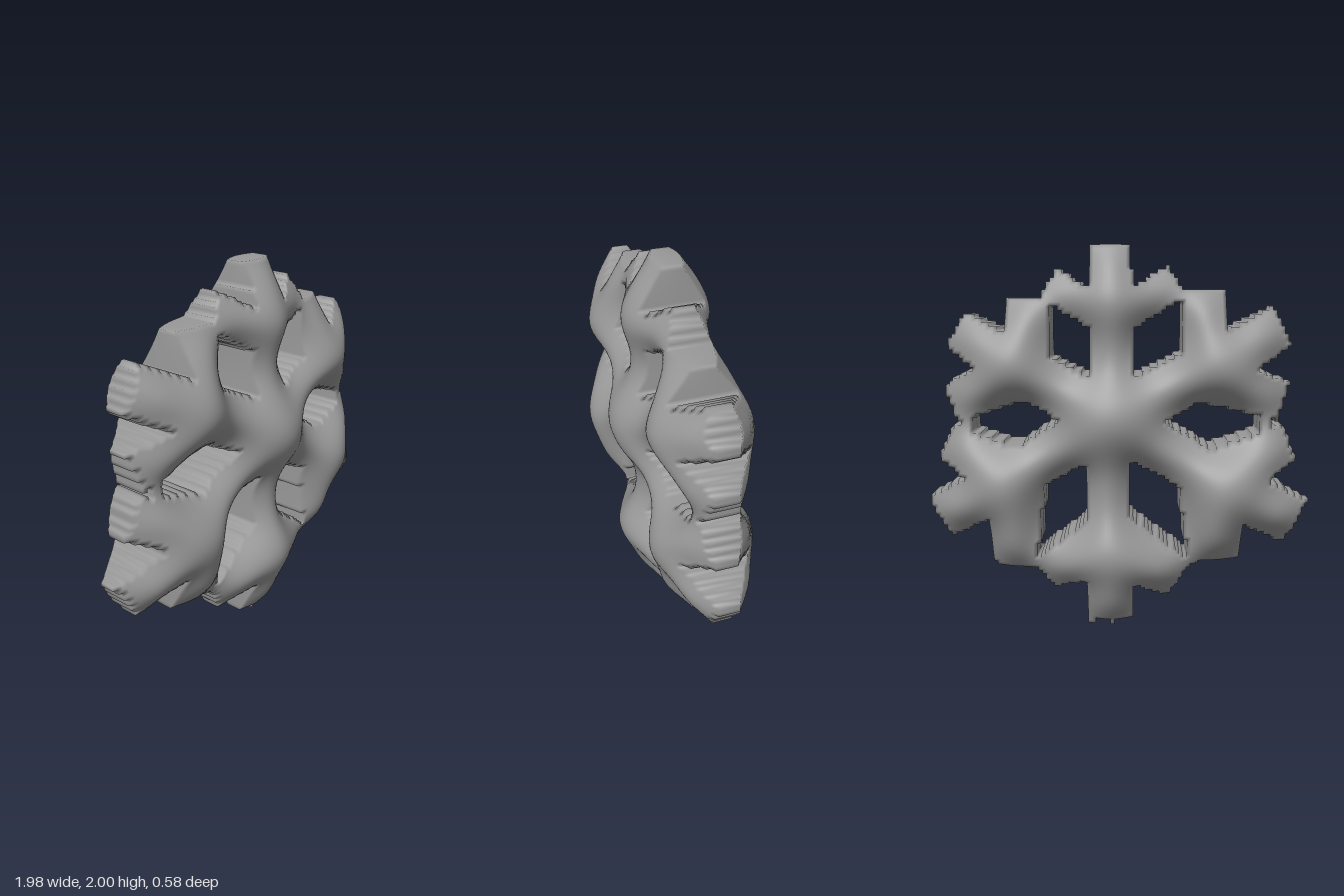
import * as THREE from 'three';

const CELLS = 100;          // outline grid resolution
const CELL = 2 / CELLS;     // stepped outline size
const SOFTNESS = 0.085;     // how gently the body swells
const SWELL = 0.35;         // low values keep thin arms nearly as thick as the hub
const PEAK = 0.29;          // half thickness at the hub

// Each stroke: x0, y0, x1, y1, half width at start, half width at end
const upperArms = [
  [0.03, 1.13, 0.025, 1.6, 0.115, 0.113],      // top arm
  [0.03, 1.6, 0.04, 2.01, 0.107, 0.107],
  [0.03, 1.62, -0.297, 1.825, 0.085, 0.09],
  [0.03, 1.62, 0.35, 1.815, 0.085, 0.085],
  [0.04, 1.13, -0.83, 1.6, 0.145, 0.112],      // upper arm, -x side
  [-0.435, 1.37, -0.435, 1.77, 0.12, 0.105],
  [-0.42, 1.36, -0.845, 1.22, 0.135, 0.097],
  [0.04, 1.13, 0.818, 1.585, 0.145, 0.105],    // upper arm, +x side
  [0.458, 1.35, 0.458, 1.74, 0.115, 0.107],
  [0.47, 1.37, 0.855, 1.21, 0.135, 0.095],
];
const lowerArms = [
  [0.045, 1.13, 0.045, 0.5, 0.11, 0.11],       // bottom arm
  [0.038, 0.55, 0.038, 0.04, 0.125, 0.127],
  [0.04, 0.51, -0.325, 0.272, 0.15, 0.125],
  [0.04, 0.51, 0.39, 0.297, 0.15, 0.1],
  [0.03, 0.06, 0.03, -0.01, 0.012, 0.012],     // small nubs under the tip
  [0.14, 0.06, 0.14, -0.01, 0.012, 0.012],
  [0.04, 1.13, -0.928, 0.58, 0.127, 0.127],    // lower arm, -x side
  [-0.47, 0.8, -0.5, 0.375, 0.16, 0.132],
  [-0.46, 0.82, -0.88, 1.01, 0.15, 0.103],
  [0.04, 1.13, 0.935, 0.602, 0.13, 0.118],     // lower arm, +x side
  [0.52, 0.8, 0.545, 0.345, 0.145, 0.12],
  [0.48, 0.82, 0.885, 1.01, 0.145, 0.103],
];
// Thin joins where neighbouring branches touch
const joins = [
  [-0.745, 1.06, -0.745, 1.18, 0.035, 0.035],
  [0.775, 1.06, 0.775, 1.18, 0.03, 0.03],
  [-0.34, 1.75, -0.3, 1.75, 0.03, 0.03],
  [0.34, 1.73, 0.38, 1.73, 0.02, 0.03],
  [-0.39, 0.38, -0.34, 0.38, 0.02, 0.02],
  [0.39, 0.37, 0.45, 0.37, 0.02, 0.02],
];
const strokes = [...upperArms, ...lowerArms, ...joins];

function insideStroke(x, y, [x0, y0, x1, y1, w0, w1]) {
  const dx = x1 - x0, dy = y1 - y0, len = Math.hypot(dx, dy);
  const t = ((x - x0) * dx + (y - y0) * dy) / (len * len);
  const off = Math.abs((x - x0) * dy - (y - y0) * dx) / len;
  return t >= 0 && t <= 1 && off <= w0 + (w1 - w0) * t;
}

// Height of each cell, rising with its distance from the outline
function rawHeights(filled) {
  const empty = [];
  for (let j = -1; j <= CELLS; j++) {
    for (let i = -1; i <= CELLS; i++) if (!filled(i, j)) empty.push([i, j]);
  }
  const heights = [];
  for (let j = 0; j < CELLS; j++) {
    heights.push([]);
    for (let i = 0; i < CELLS; i++) {
      let nearest = Infinity;
      if (filled(i, j)) {
        for (const [ei, ej] of empty) {
          nearest = Math.min(nearest, (ei - i) ** 2 + (ej - j) ** 2);
        }
      }
      heights[j].push(filled(i, j) ? ((Math.sqrt(nearest) - 0.5) * CELL) ** SWELL : 0);
    }
  }
  return heights;
}

// Half thickness at every grid corner: the cell heights, softened
function thickness(filled) {
  const heights = rawHeights(filled);
  const weight = (corner, cell) => {
    const d = (corner - cell - 0.5) * CELL / SOFTNESS;
    return Math.exp(-d * d / 2);
  };
  const N = CELLS + 1;
  const rows = [], field = [];
  for (let j = 0; j < CELLS; j++) {
    rows.push([]);
    for (let i = 0; i < N; i++) {
      let sum = 0;
      for (let k = 0; k < CELLS; k++) sum += heights[j][k] * weight(i, k);
      rows[j].push(sum);
    }
  }
  let max = 0;
  for (let j = 0; j < N; j++) {
    field.push([]);
    for (let i = 0; i < N; i++) {
      let sum = 0;
      for (let k = 0; k < CELLS; k++) sum += rows[k][i] * weight(j, k);
      field[j].push(sum);
      max = Math.max(max, sum);
    }
  }
  return (i, j) => field[j][i] / max * PEAK;
}

function snowflakeGeometry() {
  const mask = [];
  for (let j = 0; j < CELLS; j++) {
    mask.push([]);
    for (let i = 0; i < CELLS; i++) {
      const x = -1 + (i + 0.5) * CELL, y = (j + 0.5) * CELL;
      mask[j].push(strokes.some((s) => insideStroke(x, y, s)));
    }
  }
  const filled = (i, j) => Boolean(mask[j] && mask[j][i]);
  const depth = thickness(filled);

  const positions = [], index = [], made = new Map();
  const vertex = ([i, j], side) => {
    const key = `${i},${j},${side}`;
    if (!made.has(key)) {
      made.set(key, positions.length / 3);
      positions.push(-1 + i * CELL, j * CELL, side * depth(i, j));
    }
    return made.get(key);
  };
  const quad = (a, b, c, d) => index.push(a, b, c, a, c, d);

  for (let j = 0; j < CELLS; j++) {
    for (let i = 0; i < CELLS; i++) {
      if (!filled(i, j)) continue;
      const corners = [[i, j], [i + 1, j], [i + 1, j + 1], [i, j + 1]];
      const front = corners.map((c) => vertex(c, 1));
      const back = corners.map((c) => vertex(c, -1));
      quad(...front);
      quad(...[...back].reverse());
      // side walls wherever the neighbouring cell is empty
      const neighbours = [[i, j - 1], [i + 1, j], [i, j + 1], [i - 1, j]];
      neighbours.forEach(([ni, nj], p) => {
        if (filled(ni, nj)) return;
        const q = (p + 1) % 4;
        quad(front[q], front[p], back[p], back[q]);
      });
    }
  }

  const geometry = new THREE.BufferGeometry();
  geometry.setAttribute('position', new THREE.Float32BufferAttribute(positions, 3));
  geometry.setIndex(index);
  geometry.computeVertexNormals();
  return geometry;
}

export function createModel() {
  const grey = new THREE.MeshStandardMaterial({ color: 0x999999 });
  grey.name = 'grey';
  const group = new THREE.Group();
  group.name = 'snowflake';
  const body = new THREE.Mesh(snowflakeGeometry(), grey);
  body.name = 'snowflakeBody';
  group.add(body);
  return group;
}
